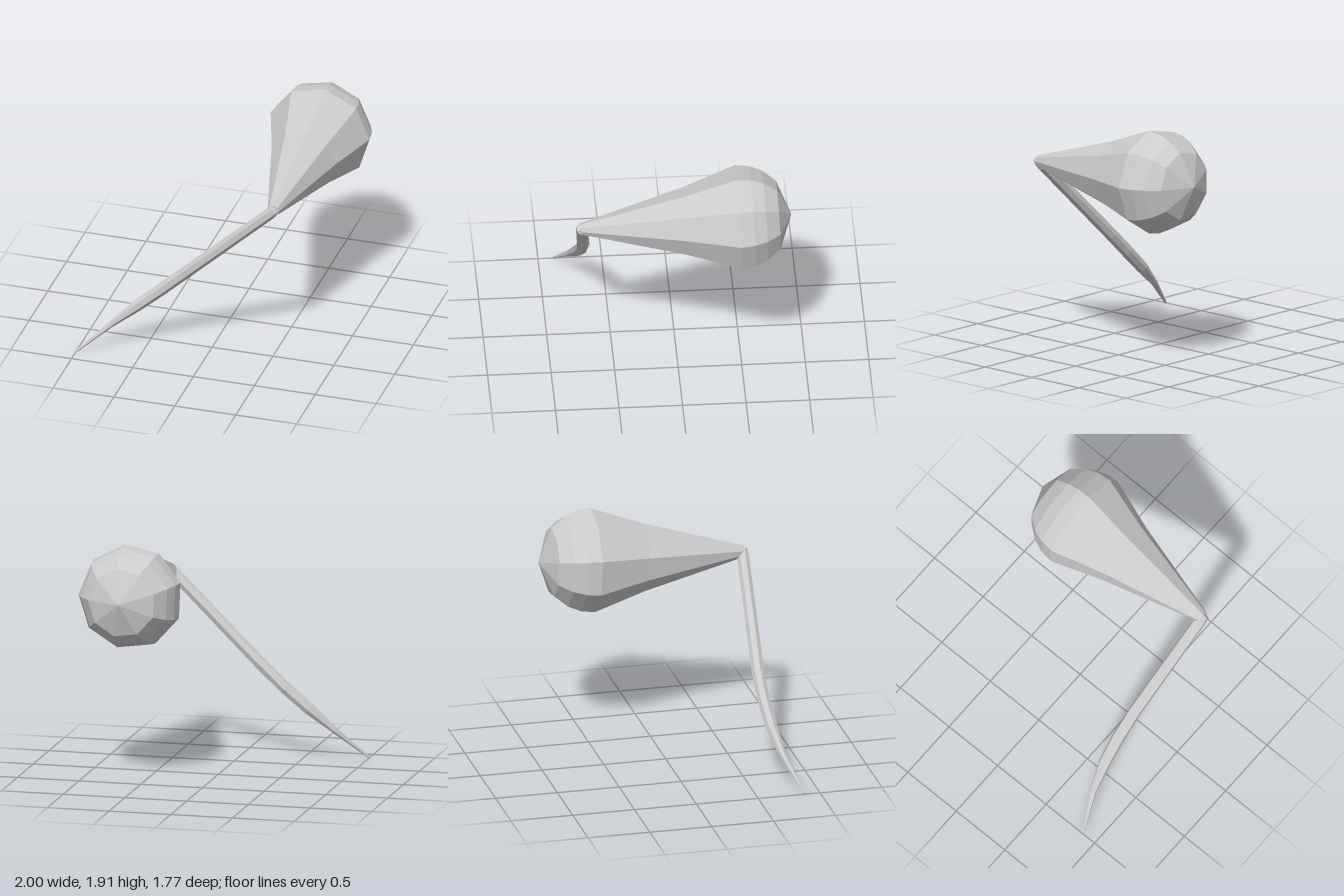
import * as THREE from 'three';

const V = (x, y, z) => new THREE.Vector3(x, y, z);

// Lofts polygon rings { c: centre, n: facing, r: radius }; each end closes on a given point.
function loft(name, rings, sides, phase, ref, startPoint, endPoint) {
  const loops = rings.map(({ c, n, r }) => {
    const dir = n.clone().normalize();
    const u = ref.clone().addScaledVector(dir, -ref.dot(dir)).normalize();
    const v = dir.clone().cross(u);
    return Array.from({ length: sides }, (_, j) => {
      const a = phase + (j / sides) * Math.PI * 2;
      return c.clone().addScaledVector(u, r * Math.cos(a)).addScaledVector(v, r * Math.sin(a));
    });
  });
  const pos = [];
  const tri = (...pts) => pts.forEach((p) => pos.push(p.x, p.y, p.z));
  const last = loops.length - 1;
  for (let j = 0; j < sides; j++) {
    const k = (j + 1) % sides;
    for (let i = 0; i < last; i++) {
      const a = loops[i], b = loops[i + 1];
      tri(a[j], a[k], b[k]);
      tri(a[j], b[k], b[j]);
    }
    tri(startPoint, loops[0][k], loops[0][j]);
    tri(endPoint, loops[last][j], loops[last][k]);
  }
  const geo = new THREE.BufferGeometry();
  geo.setAttribute('position', new THREE.Float32BufferAttribute(pos, 3));
  geo.computeVertexNormals();
  const mesh = new THREE.Mesh(geo, new THREE.MeshStandardMaterial({ color: 0xcccccc, flatShading: true }));
  mesh.name = name;
  return mesh;
}

export function createModel() {
  const group = new THREE.Group();
  group.name = 'bulbOnStalk';

  // Bulb: nine-sided teardrop, swelling towards the back along a slightly rising axis
  const axis = V(0, 0.036, -1);
  const onAxis = (z) => V(0.583, 1.46 + (0.77 - z) * 0.036, z);
  const profile = [[0.77, 0.047], [-0.04, 0.27], [-0.465, 0.416], [-0.575, 0.402], [-0.675, 0.36], [-0.78, 0.274]];
  const bulbRings = profile.map(([z, r]) => ({ c: onAxis(z), n: axis, r }));
  group.add(loft('bulb', bulbRings, 9, THREE.MathUtils.degToRad(-2), V(1, 0, 0), onAxis(0.77), onAxis(-0.885)));

  // Stalk: bent tapering stem from the ground tip up to the bulb's narrow end
  const path = [
    [-0.995, 0.01, 0.877, 0.009],
    [-0.74, 0.24, 0.766, 0.027],
    [-0.55, 0.405, 0.722, 0.048],
    [-0.36, 0.57, 0.703, 0.051],
    [-0.17, 0.745, 0.703, 0.051],
    [0.545, 1.422, 0.762, 0.049],
  ];
  const pts = path.map(([x, y, z]) => V(x, y, z));
  const stalkRings = pts.map((c, i) => ({
    c,
    n: pts[Math.min(i + 1, pts.length - 1)].clone().sub(pts[Math.max(i - 1, 0)]),
    r: path[i][3],
  }));
  // Elbow turning into the bulb
  stalkRings.push({ c: V(0.578, 1.454, 0.776), n: V(0.5, 0.5, -0.7), r: 0.045 });
  stalkRings.push({ c: V(0.583, 1.46, 0.75), n: axis, r: 0.042 });
  group.add(loft('stalk', stalkRings, 7, THREE.MathUtils.degToRad(115.7), V(-0.707, 0.707, 0), pts[0], V(0.583, 1.46, 0.75)));

  return group;
}
